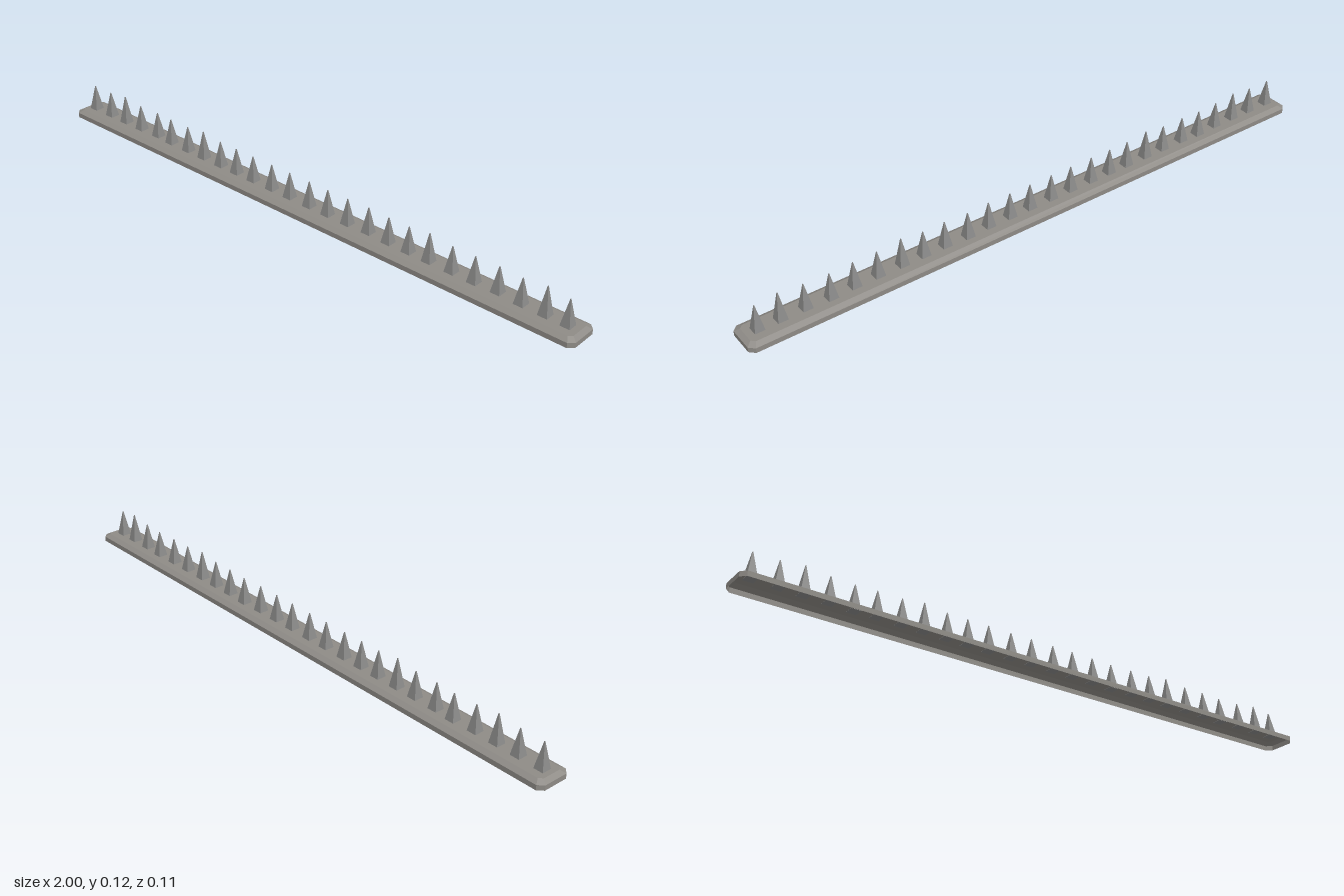
import * as THREE from 'three';

// Eight-cornered outline: a rectangle with cut corners at height y
function outline(halfX, halfZ, cut, y) {
  const a = halfX - cut, b = halfZ - cut;
  return [[halfX, -b], [halfX, b], [a, halfZ], [-a, halfZ],
    [-halfX, b], [-halfX, -b], [-a, -halfZ], [a, -halfZ]].map(([x, z]) => [x, y, z]);
}

// Hollow strip: walls, sloped shoulder and flat top, open underneath
function stripGeometry() {
  const rings = [
    outline(1, 0.057, 0.016, 0),
    outline(1, 0.057, 0.016, 0.016),
    outline(0.985, 0.041, 0.011, 0.025),
  ];
  const pos = [];
  for (let r = 0; r < rings.length - 1; r++) {
    const low = rings[r], up = rings[r + 1];
    for (let i = 0; i < 8; i++) {
      const j = (i + 1) % 8;
      pos.push(...low[i], ...up[i], ...low[j], ...up[i], ...up[j], ...low[j]);
    }
  }
  const top = rings[2];
  for (let i = 1; i < 7; i++) pos.push(...top[0], ...top[i + 1], ...top[i]);
  const g = new THREE.BufferGeometry();
  g.setAttribute('position', new THREE.Float32BufferAttribute(pos, 3));
  g.computeVertexNormals();
  return g;
}

export function createModel() {
  const group = new THREE.Group();
  const stripMat = new THREE.MeshStandardMaterial({
    name: 'warm grey', color: 0x8e8b86, flatShading: true, side: THREE.DoubleSide });
  const spikeMat = new THREE.MeshStandardMaterial({
    name: 'steel grey', color: 0x8a8a89, flatShading: true });

  const strip = new THREE.Mesh(stripGeometry(), stripMat);
  strip.name = 'baseStrip';
  group.add(strip);

  // Square spikes, slightly uneven in spacing, height and line
  const xs = [-0.953, -0.873, -0.798, -0.721, -0.643, -0.574, -0.494, -0.421, -0.344,
    -0.273, -0.2, -0.12, -0.045, 0.035, 0.109, 0.187, 0.264, 0.342, 0.416, 0.489,
    0.569, 0.646, 0.723, 0.801, 0.878, 0.948];
  const tall = [2, 7, 19, 24];
  const setBack = [4, 16, 22];
  const spikeGeo = new THREE.CylinderGeometry(0.0015, 0.0226, 1, 4, 1);
  spikeGeo.rotateY(Math.PI / 4);
  spikeGeo.translate(0, 0.5, 0);
  xs.forEach((x, i) => {
    const spike = new THREE.Mesh(spikeGeo, spikeMat);
    spike.name = 'spike' + (i + 1);
    spike.position.set(x, 0.024, setBack.includes(i) ? -0.004 : 0);
    spike.scale.y = tall.includes(i) ? 0.093 : 0.084;
    group.add(spike);
  });
  return group;
}
